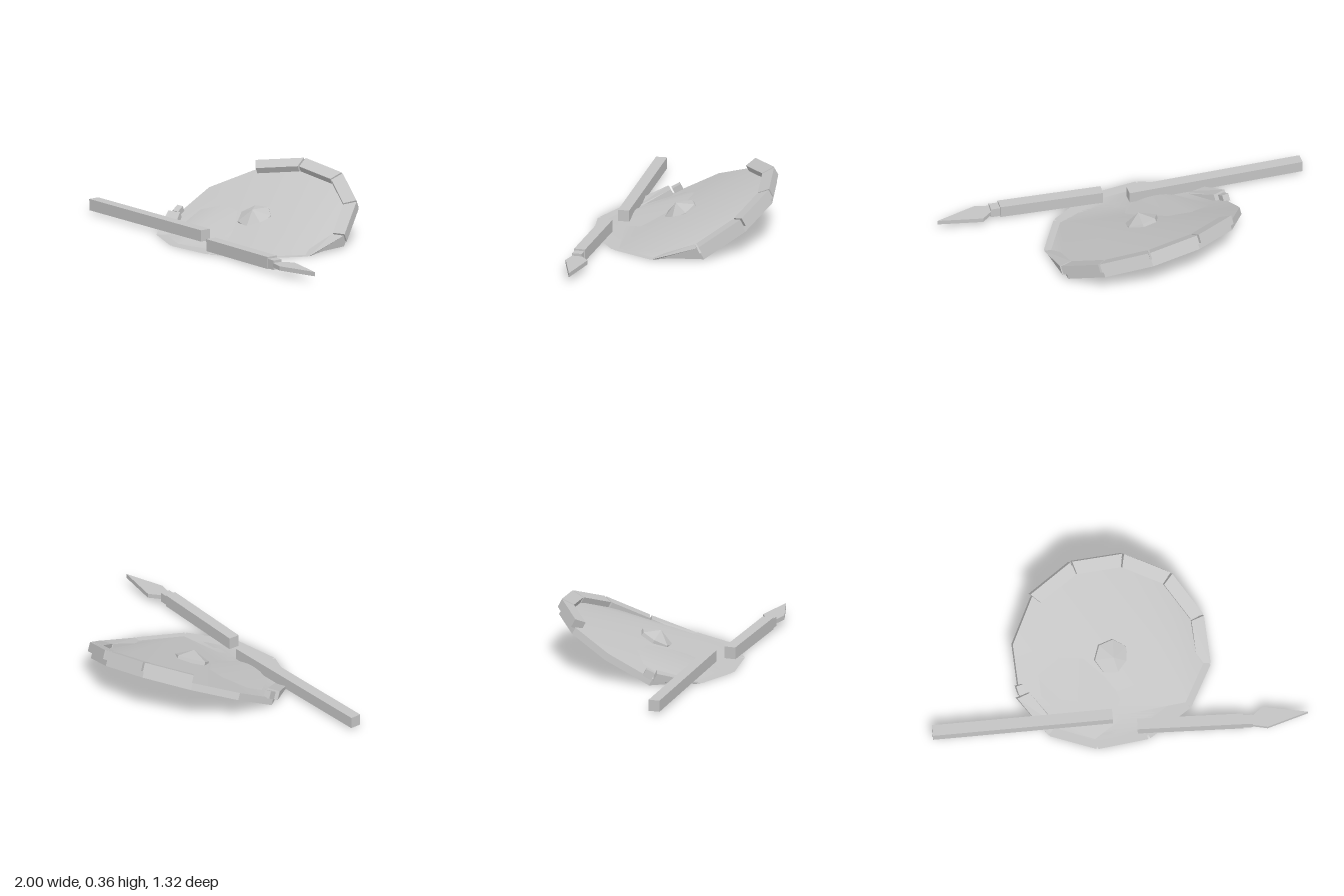
import * as THREE from 'three';

const SIDES = 12, STEP = (Math.PI * 2) / SIDES;
const TILT = 0.483; // shield leans back, its front half pressed flat on the ground
const BOARD_RADIUS = 0.562, BOARD_DEPTH = 0.042;

export function createModel() {
  const group = new THREE.Group();
  const grey = new THREE.MeshStandardMaterial({ color: 0xc4c4c4, side: THREE.DoubleSide });
  grey.name = 'grey';

  function add(geometry, name, smooth = false) {
    const shaped = geometry.index && !smooth ? geometry.toNonIndexed() : geometry;
    shaped.computeVertexNormals();
    const mesh = new THREE.Mesh(shaped, grey);
    mesh.name = name;
    group.add(mesh);
    return mesh;
  }

  // Lean a shield part, place it and flatten whatever falls below the ground
  function addShieldPart(geometry, name, smooth) {
    geometry.rotateX(TILT);
    geometry.translate(0.12, 0.005, -0.16);
    const p = geometry.attributes.position;
    for (let i = 0; i < p.count; i++) p.setY(i, Math.max(0, p.getY(i)));
    add(geometry, name, smooth);
  }

  // Board edge
  const edge = new THREE.CylinderGeometry(BOARD_RADIUS, BOARD_RADIUS, BOARD_DEPTH, SIDES, 1, true);
  edge.translate(0, BOARD_DEPTH / 2, 0);
  addShieldPart(edge, 'shieldEdge');

  // Board face: a warped fan spread from one front corner to all the others
  function boardFace(corner, height, facesUp, name) {
    const points = [], index = [];
    for (let i = 0; i < SIDES; i++) {
      const angle = (corner + i) * STEP;
      points.push(new THREE.Vector3(
        BOARD_RADIUS * Math.sin(angle), height, BOARD_RADIUS * Math.cos(angle)));
      if (i > 1) index.push(0, ...(facesUp ? [i - 1, i] : [i, i - 1]));
    }
    const face = new THREE.BufferGeometry().setFromPoints(points);
    face.setIndex(index);
    addShieldPart(face, name, true);
  }
  boardFace(1, BOARD_DEPTH, true, 'shieldFront');
  boardFace(11, 0, false, 'shieldBack');

  // Rim bar between two angles: a box bent into a wedge
  function rimBar(start, end, inner = 0.51, outer = 0.588, top = 0.088) {
    const bar = new THREE.BoxGeometry(1, 1, 1);
    const p = bar.attributes.position;
    for (let i = 0; i < p.count; i++) {
      const angle = p.getX(i) < 0 ? start : end;
      const radius = p.getZ(i) < 0 ? inner : outer;
      const height = p.getY(i) < 0 ? 0.036 : top;
      p.setXYZ(i, radius * Math.sin(angle), height, radius * Math.cos(angle));
    }
    addShieldPart(bar, 'shieldRim');
  }

  // Two rim sections are broken away, leaving a stub
  for (let i = 0; i < SIDES; i++) {
    if (i === 7 || i === 8) continue;
    rimBar((i + 0.02) * STEP, (i + 0.98) * STEP);
  }
  rimBar(8.8 * STEP, 8.98 * STEP, 0.53, 0.57, 0.08);

  // Faceted boss through the middle
  const profile = [[0, 0.02], [0.08, 0.03], [0.106, 0.08], [0.1, 0.135], [0, 0.183]];
  const boss = new THREE.LatheGeometry(profile.map(([r, h]) => new THREE.Vector2(r, h)), 7);
  addShieldPart(boss, 'shieldBoss');

  // Square beam between two points
  function beam(from, to, width, height, name) {
    const a = new THREE.Vector3(...from), b = new THREE.Vector3(...to);
    const mesh = add(new THREE.BoxGeometry(width, height, a.distanceTo(b)), name);
    mesh.position.copy(a).add(b).multiplyScalar(0.5);
    mesh.lookAt(b);
  }

  // Broken spear: rear shaft, front shaft and collar
  beam([-0.989, 0.047, -0.146], [-0.02, 0.056, 0.206], 0.065, 0.066, 'rearShaft');
  beam([0.085, 0.038, 0.316], [0.642, 0.05, 0.55], 0.065, 0.07, 'frontShaft');
  beam([0.64, 0.047, 0.55], [0.69, 0.047, 0.572], 0.056, 0.055, 'spearCollar');

  // Flat spearhead
  const outline = new THREE.Shape([
    [0.695, 0.548], [0.775, 0.522], [0.998, 0.661], [0.75, 0.645], [0.678, 0.598],
  ].map(([x, z]) => new THREE.Vector2(x, z)));
  const head = new THREE.ExtrudeGeometry(outline, { depth: 0.025, bevelEnabled: false });
  head.rotateX(Math.PI / 2);
  head.translate(0, 0.06, 0);
  add(head, 'spearHead');

  return group;
}
